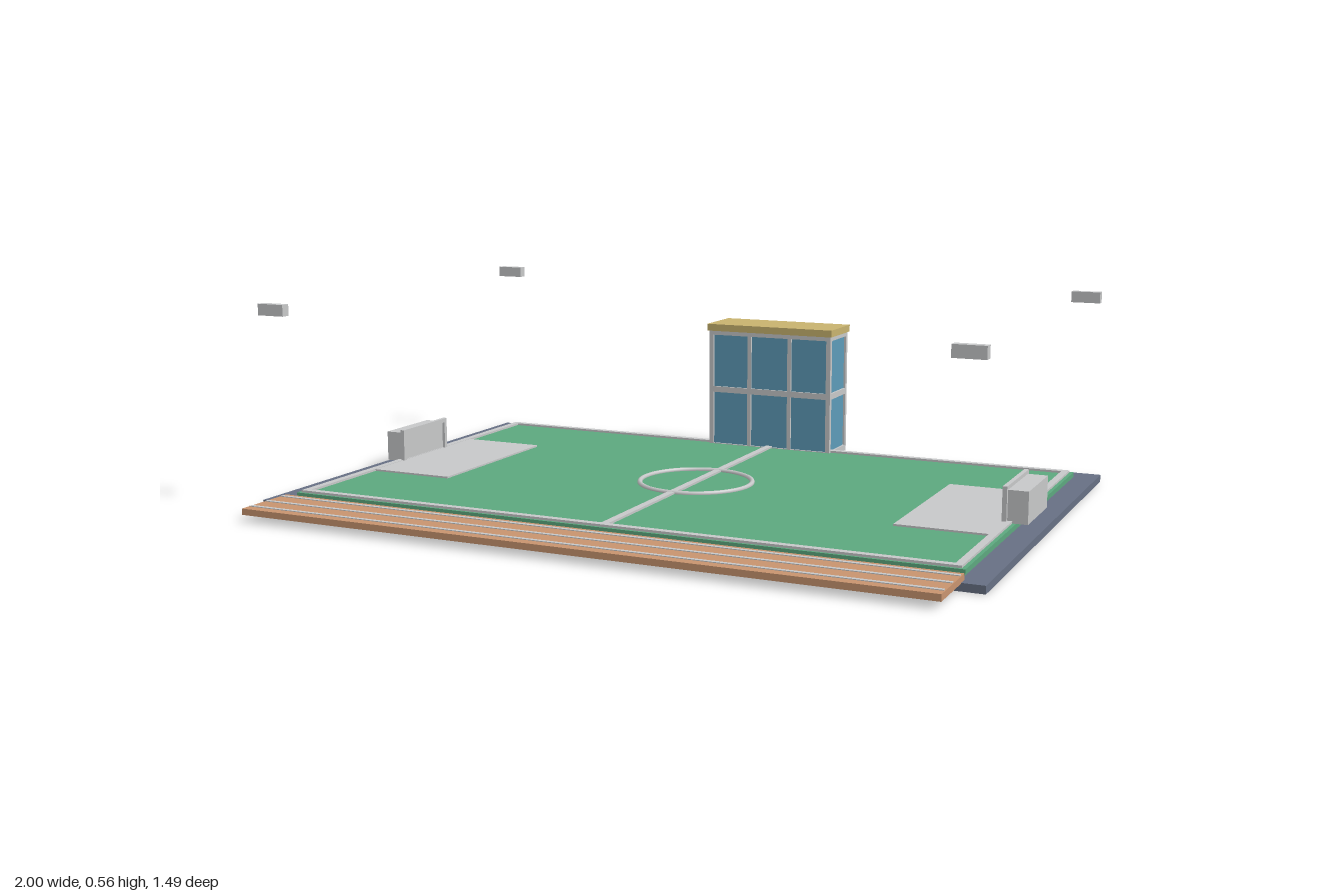
import * as THREE from 'three';

const mat = (name, color) => {
  const m = new THREE.MeshStandardMaterial({ color });
  m.name = name;
  return m;
};

export function createModel() {
  const slate = mat('slate', 0x677084);
  const grass = mat('grass green', 0x5ca87e);
  const white = mat('light grey', 0xc7c8c9);
  const wood = mat('terracotta', 0xc8946f);
  const glass = mat('window blue', 0x5d9bb8);
  const gold = mat('roof gold', 0xc8b36f);

  const model = new THREE.Group();
  model.name = 'footballGround';
  const group = (name) => {
    const g = new THREE.Group();
    g.name = name;
    model.add(g);
    return g;
  };
  // box given by its limits on each axis
  const box = (parent, name, material, [x0, x1], [y0, y1], [z0, z1]) => {
    const mesh = new THREE.Mesh(new THREE.BoxGeometry(x1 - x0, y1 - y0, z1 - z0), material);
    mesh.position.set((x0 + x1) / 2, (y0 + y1) / 2, (z0 + z1) / 2);
    mesh.name = name;
    parent.add(mesh);
  };
  const around = (c, w) => [c - w / 2, c + w / 2];
  // limits mirrored to the given side
  const side = (s, a, b) => (s > 0 ? [a, b] : [-b, -a]);

  // ground slab and pitch
  const midZ = -0.05;
  box(model, 'groundSlab', slate, [-1, 1], [0, 0.02], [-0.69, 0.59]);
  box(model, 'pitch', grass, [-0.935, 0.935], [0.02, 0.034], [-0.627, 0.527]);

  // pitch markings
  const marks = group('pitchMarkings');
  const lineY = [0.03, 0.04];
  for (const s of [-1, 1]) {
    box(marks, 'touchLine', white, [-0.925, 0.925], lineY, around(midZ + s * 0.56, 0.02));
    box(marks, 'goalLine', white, side(s, 0.905, 0.925), lineY, [-0.62, 0.52]);
    box(marks, 'penaltyArea', white, side(s, 0.66, 0.91), [0.03, 0.039], [midZ - 0.254, midZ + 0.254]);
  }
  box(marks, 'halfwayLine', white, around(0, 0.02), lineY, [-0.61, 0.51]);
  const circle = new THREE.Mesh(new THREE.TorusGeometry(0.158, 0.007, 8, 48), white);
  circle.rotation.x = -Math.PI / 2;
  circle.position.set(0, 0.036, midZ);
  circle.name = 'centreCircle';
  marks.add(circle);

  // goals: solid net with a slightly larger front frame
  for (const s of [-1, 1]) {
    const goal = group(s > 0 ? 'leftGoal' : 'rightGoal');
    box(goal, 'net', white, side(s, 0.908, 0.965), [0.034, 0.12], around(midZ, 0.21));
    box(goal, 'crossbar', white, side(s, 0.9, 0.912), [0.118, 0.13], around(midZ, 0.23));
    for (const t of [-1, 1])
      box(goal, 'post', white, side(s, 0.9, 0.912), [0.034, 0.12], around(midZ + t * 0.109, 0.012));
  }

  // stand with pale seat rows
  const stand = group('stand');
  box(stand, 'deck', wood, [-0.943, 0.943], [0.018, 0.035], [0.562, 0.745]);
  for (const z of [0.585, 0.648, 0.712])
    box(stand, 'seatRow', white, [-0.94, 0.94], [0.033, 0.037], around(z, 0.011));

  // floodlight heads
  const lights = group('floodlights');
  for (const s of [-1, 1])
    for (const z of [-0.65, 0.58])
      box(lights, 'floodlight', white, side(s, 0.907, 0.988), [0.525, 0.556], around(z, 0.025));

  // clubhouse: glass block, frame grid and flat roof
  const house = group('clubhouse');
  const back = -0.74, front = -0.588;
  box(house, 'glassBlock', glass, [-0.194, 0.194], [0.025, 0.385], [back + 0.006, front - 0.006]);
  for (const x of [-0.193, 0.193])
    for (const z of [back + 0.007, front - 0.007])
      box(house, 'cornerPost', white, around(x, 0.014), [0.02, 0.39], around(z, 0.014));
  for (const x of [-0.066, 0.066])
    for (const z of [back + 0.005, front - 0.005])
      box(house, 'mullion', white, around(x, 0.012), [0.02, 0.39], around(z, 0.01));
  for (const [name, y] of [['sill', [0.018, 0.036]], ['middleRail', [0.198, 0.216]], ['topRail', [0.378, 0.391]]])
    box(house, name, white, [-0.2, 0.2], y, [back, front]);
  box(house, 'roof', gold, [-0.205, 0.205], [0.391, 0.412], [-0.745, -0.581]);

  return model;
}
